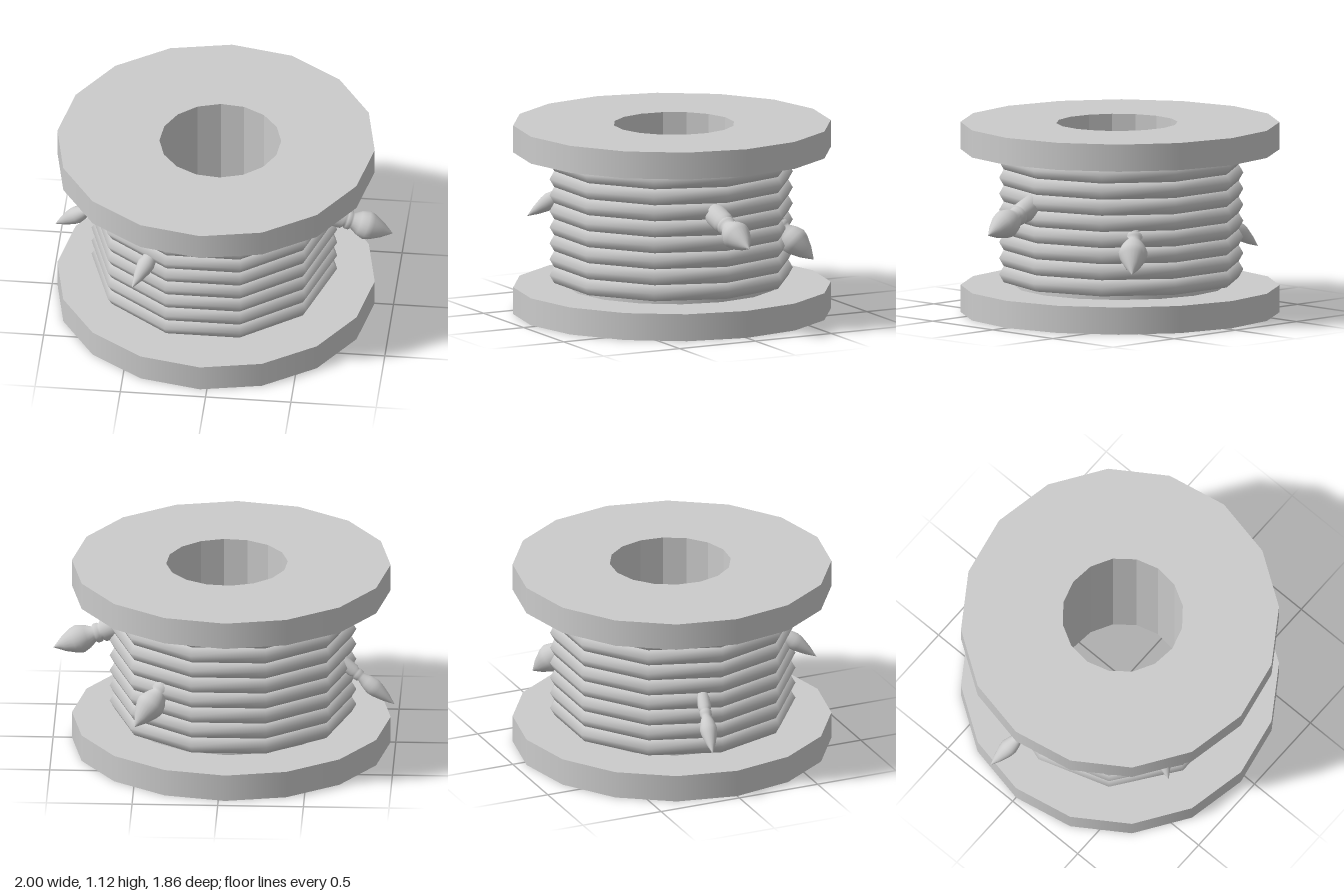
import * as THREE from 'three';

const CX = -0.04; // spool axis
const BORE = 0.355, BORE_TURN = 0.09;
const grey = (opts = {}) => new THREE.MeshStandardMaterial({ color: 0xcccccc, ...opts });

function add(parent, name, geometry, material = grey()) {
  const mesh = new THREE.Mesh(geometry, material);
  mesh.name = name;
  parent.add(mesh);
  return mesh;
}

// Points of a regular 16-sided outline
function outline(r, turn = 0, cx = 0) {
  return Array.from({ length: 16 }, (_, i) => {
    const a = turn + i * Math.PI / 8;
    return new THREE.Vector2(cx + r * Math.cos(a), r * Math.sin(a));
  });
}

// Flange disc: smooth rim between two flat faces pierced by the bore
function flange(name, y0, y1) {
  const g = new THREE.Group();
  g.name = name;
  add(g, 'rim', new THREE.CylinderGeometry(0.93, 0.93, y1 - y0, 16, 1, true)
    .translate(0, (y0 + y1) / 2, 0));
  const shape = new THREE.Shape(outline(0.93));
  shape.holes.push(new THREE.Path(outline(BORE, BORE_TURN, 0.025)));
  add(g, 'topFace', new THREE.ShapeGeometry(shape).rotateX(-Math.PI / 2).translate(0, y1, 0));
  // flipped faces look downward, with the hole kept in line
  const under = new THREE.Shape(outline(0.93));
  under.holes.push(new THREE.Path(outline(BORE, -BORE_TURN, 0.025)));
  add(g, 'underFace', new THREE.ShapeGeometry(under).rotateX(Math.PI / 2).translate(0, y0, 0));
  return g;
}

// Dart: tapered shaft, collar and pointed head, running from base to tip
function dart(name, base, tip, girthX, girthZ) {
  const a = new THREE.Vector3(...base), b = new THREE.Vector3(...tip);
  const len = a.distanceTo(b);
  const profile = [
    [0, 0], [0.07, 0], [0.064, len - 0.31], [0.05, len - 0.295],
    [0.058, len - 0.285], [0.058, len - 0.262], [0.046, len - 0.25],
    [0.07, len - 0.21], [0.085, len - 0.165], [0.077, len - 0.13],
    [0.045, len - 0.065], [0, len],
  ].map(p => new THREE.Vector2(...p));
  const mesh = add(new THREE.Group(), name, new THREE.LatheGeometry(profile, 20));
  mesh.scale.set(girthX, 1, girthZ);
  mesh.position.copy(a);
  mesh.quaternion.setFromUnitVectors(new THREE.Vector3(0, 1, 0), b.sub(a).normalize());
  return mesh;
}

export function createModel() {
  const model = new THREE.Group();
  model.name = 'spool';

  const reel = new THREE.Group();
  reel.name = 'reel';
  reel.position.x = CX;
  model.add(reel);
  reel.add(flange('bottomFlange', 0, 0.16), flange('topFlange', 0.96, 1.12));

  // Drum and the bore running through it
  add(reel, 'drum', new THREE.CylinderGeometry(0.62, 0.62, 0.8, 16, 1, true).translate(0, 0.56, 0));
  const bore = add(reel, 'bore', new THREE.CylinderGeometry(BORE, BORE, 1.12, 16, 1, true),
    grey({ side: THREE.BackSide, flatShading: true }));
  bore.position.set(0.025, 0.56, 0);
  bore.rotation.y = BORE_TURN;

  // Rope coils: ten-sided loops with a hexagonal section
  for (let i = 0; i < 8; i++) {
    const coil = add(reel, 'ropeCoil', new THREE.TorusGeometry(0.665, 0.055, 6, 10).rotateX(Math.PI / 2));
    coil.position.set(-0.01, 0.237 + i * 0.095, 0);
  }

  // Darts stuck in the rope
  model.add(
    dart('leftDart', [0.55, 0.71, 0.06], [1, 0.55, 0.04], 1, 1),
    dart('rightDart', [-0.62, 0.6, -0.08], [-1, 0.31, -0.17], 0.6, 0.6),
    dart('frontDart', [-0.29, 0.78, 0.46], [-0.46, 0.56, 0.735], 0.6, 0.6),
    dart('backDart', [0.26, 0.62, -0.43], [0.5, 0.34, -0.65], 1, 1),
  );
  return model;
}
